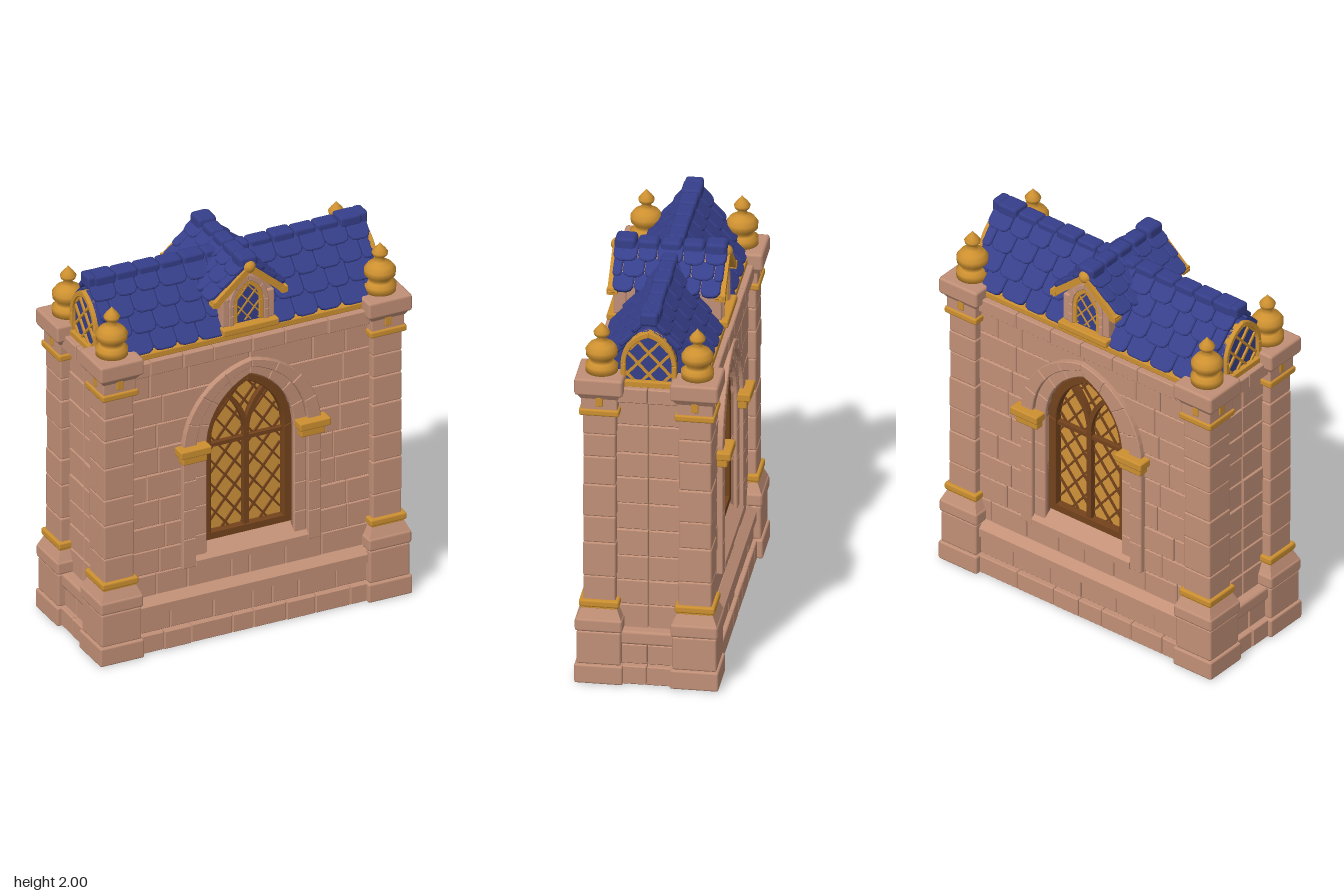
import * as THREE from 'three';
import { mergeGeometries } from 'three/addons/utils/BufferGeometryUtils.js';
import { RoundedBoxGeometry } from 'three/addons/geometries/RoundedBoxGeometry.js';

const mat = (name, color) => Object.assign(new THREE.MeshStandardMaterial({ color }), { name });

// Seeded numbers for uneven stones and tiles
let seed = 7;
const rnd = (a, b) => {
  seed = (seed * 16807) % 2147483647;
  return a + (b - a) * (seed / 2147483647);
};

function merged(name, geoms, material) {
  const m = new THREE.Mesh(mergeGeometries(geoms.map(g => (g.index ? g.toNonIndexed() : g))), material);
  m.name = name;
  return m;
}
function group(name, ...kids) {
  const g = new THREE.Group();
  g.name = name;
  if (kids.length) g.add(...kids);
  return g;
}
const box = (x0, x1, y0, y1, z0, z1, r = 0.008) =>
  new RoundedBoxGeometry(x1 - x0, y1 - y0, z1 - z0, 1, r).translate((x0 + x1) / 2, (y0 + y1) / 2, (z0 + z1) / 2);

// Flat outline [x, y] pulled from z0 to z1 with a small bevel
function slab(pts, z0, z1, b = 0, hole) {
  const shape = new THREE.Shape(pts.map(p => new THREE.Vector2(...p)));
  if (hole) shape.holes.push(new THREE.Path(hole.map(p => new THREE.Vector2(...p))));
  return new THREE.ExtrudeGeometry(shape, {
    depth: z1 - z0 - 2 * b, bevelEnabled: b > 0, bevelSize: b, bevelThickness: b, bevelOffset: -b, bevelSegments: 1,
  }).translate(0, 0, z0 + b);
}
// Square tapered block
function taper(half0, half1, y0, y1) {
  const g = new THREE.CylinderGeometry(half1 * Math.SQRT2, half0 * Math.SQRT2, y1 - y0, 4)
    .rotateY(Math.PI / 4).translate(0, (y0 + y1) / 2, 0).toNonIndexed();
  g.computeVertexNormals();
  return g;
}
// Straight square bar between two [x, y] points
function bar(a, b, z, w, d = w) {
  const dx = b[0] - a[0], dy = b[1] - a[1];
  return new THREE.BoxGeometry(Math.hypot(dx, dy), w, d)
    .rotateZ(Math.atan2(dy, dx)).translate((a[0] + b[0]) / 2, (a[1] + b[1]) / 2, z);
}

// Pointed arch: half width w, base y, spring y, rise h
const arch = (w, base, spring, h) => ({ w, base, spring, h, d: (h * h - w * w) / (2 * w) });
function halfWidth({ w, base, spring, h, d }, y) {
  if (y < base || y >= spring + h) return 0;
  return y <= spring ? w : Math.sqrt((w + d) ** 2 - (y - spring) ** 2) - d;
}
function archPoints({ w, base, spring, h, d }, legs = 4, arcs = 12) {
  const right = [], end = Math.atan2(h, d);
  for (let i = 0; i < legs; i++) right.push([w, base + (spring - base) * i / legs]);
  for (let i = 0; i < arcs; i++) {
    const t = end * i / arcs;
    right.push([(w + d) * Math.cos(t) - d, spring + (w + d) * Math.sin(t)]);
  }
  return [...right, [0, spring + h], ...right.map(([x, y]) => [-x, y]).reverse()];
}
// Arch band cut into separate stones
function band(outer, inner, z0, z1, b = 0.004, legs = 4, arcs = 12, step = 3) {
  const o = archPoints(outer, legs, arcs), n = archPoints(inner, legs, arcs), out = [];
  const cuts = [];
  for (let i = 0; i < legs; i++) cuts.push(i);
  for (let i = legs; i <= legs + 2 * arcs; i += step) cuts.push(i);
  for (let i = legs + 2 * arcs + 1; i < o.length; i++) cuts.push(i);
  for (let k = 0; k + 1 < cuts.length; k++) {
    const a = cuts[k], c = cuts[k + 1] + 1;
    out.push(slab([...o.slice(a, c), ...n.slice(a, c).reverse()], z0, z1, b));
  }
  return out;
}
// Diagonal lattice bars trimmed to an arch
function lattice(a, pitch, slope, z, w) {
  const out = [], top = a.spring + a.h;
  for (const s of [-1, 1]) for (let c = a.base - 1; c < top + 1; c += pitch) {
    const inside = [];
    for (let x = -a.w; x <= a.w; x += a.w / 60) {
      const y = c + s * slope * x;
      if (y > a.base && y < top && Math.abs(x) <= halfWidth(a, y)) inside.push([x, y]);
    }
    if (inside.length > 4) out.push(bar(inside[0], inside[inside.length - 1], z, w));
  }
  return out;
}
// Courses of wall stones facing +z, kept clear of an optional arch
function masonry(x1, rows, z0, z1, clear) {
  const out = [], g = 0.002;
  for (let r = 0; r + 1 < rows.length; r++) for (const s of [-1, 1]) {
    const y0 = rows[r] + g, y1 = rows[r + 1] - g;
    const edge = [0, 1, 2, 3, 4].map(i => y0 + (y1 - y0) * i / 4)
      .map(y => [clear ? halfWidth(clear, y) : 0, y]);
    const start = edge[0][0], cuts = [start];
    let x = start + rnd(0.1, 0.22);
    while (x < x1 - 0.08) { cuts.push(x); x += rnd(0.14, 0.24); }
    cuts.push(x1);
    for (let i = 0; i + 1 < cuts.length; i++) {
      const a = cuts[i] + g, b = cuts[i + 1] - g;
      const left = i ? [[a, y0], [a, y1]] : edge.map(([ex, y]) => [Math.min(ex + g, b - 0.02), y]);
      out.push(slab([[b, y1], [b, y0], ...left].map(([px, py]) => [px * s, py]), z0, z1 + rnd(-0.002, 0.003), 0.004));
    }
  }
  return out;
}
// Overlapping tiles hanging down from a ridge at the local origin
function tiles(rows, rowH, halfLen, tileW) {
  const out = [];
  for (let r = 0; r < rows; r++) {
    const L = halfLen(r), n = Math.round(2 * L / tileW), w = 2 * L / n, cuts = [-L];
    for (let i = r % 2 ? 0.5 : 1; i < n; i++) cuts.push(-L + i * w + rnd(-0.012, 0.012));
    cuts.push(L);
    for (let i = 0; i + 1 < cuts.length; i++) {
      const a = cuts[i] + 0.002, b = cuts[i + 1] - 0.002, h = rowH * 1.25 + rnd(-0.004, 0.006), c = Math.min(0.03, (b - a) / 3);
      out.push(slab([[a, 0], [a, c - h], [a + c * 0.35, c * 0.3 - h], [a + c, -h], [b - c, -h], [b - c * 0.35, c * 0.3 - h], [b, c - h], [b, 0]],
        0, 0.024, 0.005).rotateX(-0.13).translate(0, -r * rowH, 0));
    }
  }
  return out;
}

export function createModel() {
  const stone = mat('stone', 0xc29077), mortar = mat('mortar', 0x946b57), gold = mat('gold', 0xcd9030);
  const glass = mat('amber glass', 0xd0933a), wood = mat('dark wood', 0x74431c), blue = mat('blue tile', 0x363f8a);
  const model = group('chapelWall');

  // Solid core behind the stonework
  model.add(merged('core', [box(-0.735, 0.735, 0.005, 1.57, -0.2, 0.2, 0.002)], mortar));

  // One long face, used front and back
  const opening = arch(0.235, 0.4, 1.03, 0.34), step = arch(0.3, 0.4, 1.03, 0.385), outer = arch(0.37, 0.4, 1.03, 0.425);
  const frameOut = arch(0.24, 0.5, 1.03, 0.325), frameIn = arch(0.195, 0.53, 1.02, 0.295);
  function longFace() {
    const f = group('longFace');
    f.add(merged('wallBacking', [slab([[-0.66, 0.02], [0.66, 0.02], [0.66, 1.55], [-0.66, 1.55]], 0.195, 0.262, 0, archPoints(opening))], mortar));
    f.add(merged('wallStones', masonry(0.66, [0.27, 0.4, 0.53, 0.66, 0.8, 0.94, 1.08, 1.21, 1.36, 1.5], 0.24, 0.273, arch(0.34, 0.4, 1.03, 0.4)), stone));
    // Plinth courses and cornice
    f.add(merged('plinthStones', [...masonry(0.63, [0, 0.1], 0.2, 0.32), ...masonry(0.63, [0.1, 0.205], 0.2, 0.3)], stone));
    const moulding = slab([[0.2, 0.205], [0.318, 0.205], [0.318, 0.25], [0.275, 0.285], [0.2, 0.285]], -0.63, 0.63).rotateY(-Math.PI / 2);
    f.add(merged('plinthMoulding', [moulding], stone));
    f.add(merged('cornice', masonry(0.63, [1.495, 1.575], 0.15, 0.303), stone));
    f.add(merged('eaveStrip', [box(-0.62, 0.62, 1.572, 1.605, 0.18, 0.275, 0.006)], gold));
    // Window surround
    f.add(merged('windowSurround', [...band(outer, step, 0.2, 0.302), ...band(step, opening, 0.2, 0.282)], stone));
    const sill = slab([[0.19, 0.395], [0.305, 0.395], [0.305, 0.43], [0.21, 0.51], [0.19, 0.51]], -0.3, 0.3).rotateY(-Math.PI / 2);
    f.add(merged('windowSill', [sill], stone));
    f.add(merged('imposts', [-1, 1].flatMap(s => [
      box(s * 0.32 - 0.083, s * 0.32 + 0.083, 1.02, 1.062, 0.2, 0.345),
      box(s * 0.317 - 0.066, s * 0.317 + 0.066, 0.975, 1.022, 0.2, 0.325)]), gold));
    // Glazing and tracery
    f.add(merged('windowGlass', [slab(archPoints(frameOut), 0.2, 0.208)], glass));
    const bars = band(frameOut, frameIn, 0.2, 0.25, 0.004, 1, 12, 12);
    bars.push(bar([-0.24, 0.515], [0.24, 0.515], 0.225, 0.035, 0.05), bar([0, 0.51], [0, 1.03], 0.222, 0.028, 0.036), bar([-0.2, 1.0], [0.2, 1.0], 0.22, 0.02, 0.03));
    for (const s of [-1, 1]) {
      const R = frameIn.w + frameIn.d;
      let last = [0, 1.02];
      for (let t = 0.1; t < 1.2; t += 0.1) {
        const p = [s * (R - R * Math.cos(t)), 1.02 + R * Math.sin(t)];
        if (Math.abs(p[0]) > halfWidth(frameIn, p[1]) + 0.02) break;
        bars.push(bar(last, p, 0.222, 0.024, 0.034));
        last = p;
      }
    }
    f.add(merged('windowFrame', bars, wood));
    f.add(merged('windowLattice', lattice(frameIn, 0.128, 1.25, 0.211, 0.011), wood));
    f.add(dormerFront());
    return f;
  }

  // Dormer face with its small arched window
  function dormerFront() {
    const d = group('dormerFront'), o = arch(0.08, 1.64, 1.75, 0.12), i = arch(0.06, 1.65, 1.75, 0.095);
    d.add(merged('dormerBody', [slab([[-0.135, 1.6], [0.135, 1.6], [0.135, 1.79], [0, 1.925], [-0.135, 1.79]], 0, 0.245)], stone));
    d.add(merged('dormerSurround', [...band(arch(0.105, 1.64, 1.75, 0.15), o, 0.22, 0.268, 0.003, 2, 6, 3),
      ...[-1, 1].map(s => box(s * 0.12 - 0.02, s * 0.12 + 0.02, 1.64, 1.79, 0.2, 0.262))], stone));
    d.add(merged('dormerGlass', [slab(archPoints(o), 0.244, 0.25)], blue));
    d.add(merged('dormerTrim', [box(-0.15, 0.15, 1.605, 1.642, 0.2, 0.295),
      ...band(o, i, 0.24, 0.262, 0.002, 1, 6, 6), ...lattice(i, 0.085, 1.2, 0.252, 0.007),
      ...[-1, 1].flatMap(s => [bar([0, 1.942], [s * 0.192, 1.775], 0.262, 0.032, 0.045), bar([s * 0.165, 1.785], [s * 0.2, 1.785], 0.262, 0.03, 0.05)]),
      new THREE.SphereGeometry(0.034, 14, 10).translate(0, 1.945, 0.262)], gold));
    return d;
  }

  // One short face with its gable window
  function shortFace() {
    const f = group('shortFace');
    f.add(merged('sideStones', masonry(0.17, [0.27, 0.4, 0.53, 0.66, 0.8, 0.94, 1.08, 1.21, 1.36, 1.5], 0.7, 0.753), stone));
    f.add(merged('sidePlinth', [...masonry(0.15, [0, 0.1], 0.7, 0.815), ...masonry(0.15, [0.1, 0.205], 0.7, 0.79), box(-0.15, 0.15, 0.207, 0.28, 0.7, 0.808, 0.015)], stone));
    f.add(merged('sideCornice', masonry(0.15, [1.495, 1.575], 0.6, 0.795), stone));
    const o = arch(0.135, 1.585, 1.69, 0.175), i = arch(0.112, 1.6, 1.69, 0.145);
    f.add(merged('gableGlass', [slab(archPoints(o), 0.7, 0.742)], blue));
    f.add(merged('gableFrame', [...band(o, i, 0.72, 0.762, 0.003, 1, 12, 12),
      box(-0.15, 0.15, 1.57, 1.602, 0.66, 0.768, 0.005), ...lattice(i, 0.115, 1.1, 0.746, 0.012)], gold));
    return f;
  }

  // Corner pillar, square so it can turn to each corner
  function pillar() {
    const p = group('cornerPillar'), s = [], cube = (h, y0, y1, r) => box(-h, h, y0, y1, -h, h, r);
    s.push(cube(0.118, 0, 0.1, 0.01), cube(0.108, 0.1, 0.275, 0.01), cube(0.116, 0.275, 0.345, 0.014), taper(0.11, 0.084, 0.34, 0.4));
    const cuts = [0.4, 0.56, 0.74, 0.88, 1.05, 1.2, 1.32, 1.43];
    for (let i = 0; i + 1 < cuts.length; i++) s.push(cube(0.08 + rnd(-0.002, 0.002), cuts[i], cuts[i + 1], 0.009));
    s.push(cube(0.088, 1.45, 1.535, 0.006), taper(0.088, 0.11, 1.515, 1.55), cube(0.118, 1.54, 1.63, 0.014));
    p.add(merged('pillarStones', s, stone));
    const stud = box(-0.018, 0.018, 1.475, 1.525, 0.08, 0.094, 0.005);
    p.add(merged('pillarBands', [cube(0.098, 0.4, 0.437, 0.01), cube(0.088, 0.39, 0.403, 0.004), cube(0.098, 1.425, 1.46, 0.01), stud, stud.clone().rotateY(Math.PI / 2)], gold));
    const profile = [[0.001, 1.625], [0.078, 1.625], [0.08, 1.665], [0.058, 1.68], [0.05, 1.695], [0.076, 1.715], [0.078, 1.745], [0.06, 1.77],
      [0.03, 1.785], [0.02, 1.805], [0.036, 1.82], [0.04, 1.835], [0.026, 1.855], [0.01, 1.872], [0.001, 1.885]];
    p.add(merged('finial', [new THREE.LatheGeometry(profile.map(q => new THREE.Vector2(...q)), 20)], gold));
    return p;
  }

  for (const turn of [0, Math.PI]) {
    const a = longFace(), b = shortFace();
    a.rotation.y = turn;
    b.rotation.y = turn + Math.PI / 2;
    model.add(a, b);
  }
  for (let k = 0; k < 4; k++) {
    const p = pillar();
    p.position.set(k < 2 ? 0.72 : -0.72, 0, k % 3 ? -0.232 : 0.232);
    p.rotation.y = k * Math.PI / 2;
    model.add(p);
  }

  // Main roof and crossing dormer roof
  const roof = group('roof');
  roof.add(merged('roofCore', [slab([[-0.235, 1.6], [0.235, 1.6], [0, 1.915]], -0.7, 0.7).rotateY(Math.PI / 2)], blue));
  for (const turn of [0, 1, 2, 3]) {
    const main = turn % 2 === 0;
    const slope = merged(main ? 'roofTiles' : 'dormerTiles', main
      ? tiles(4, 0.097, r => 0.745 - 0.014 * r, 0.127) : tiles(3, 0.08, r => 0.275 - 0.006 * r, 0.11), blue);
    slope.position.y = main ? 1.918 : 1.953;
    slope.rotation.x = -Math.atan2(main ? 0.235 : 0.19, main ? 0.315 : 0.175);
    const turner = group('roofSlope', slope);
    turner.rotation.y = turn * Math.PI / 2;
    roof.add(turner);
  }
  const caps = [];
  for (let i = 0; i < 12; i++) {
    const x = -0.72 + i * 0.12, e = i % 11 ? rnd(0, 0.006) : 0.01;
    caps.push(box(x + 0.002, x + 0.118, 1.895, 1.942 + e, -0.04 - e, 0.04 + e, 0.014));
  }
  for (const s of [-1, 1]) caps.push(box(s * 0.728 - 0.025, s * 0.728 + 0.025, 1.89, 1.957, -0.045, 0.045, 0.015));
  for (let i = 0; i < 5; i++) {
    const z = -0.275 + i * 0.11, e = i % 4 ? 0 : 0.008;
    caps.push(box(-0.042 - e, 0.042 + e, 1.93, 1.992 + e, z + 0.002, z + 0.108, 0.02));
  }
  roof.add(merged('ridgeCaps', caps, blue));
  model.add(roof);
  return model;
}
